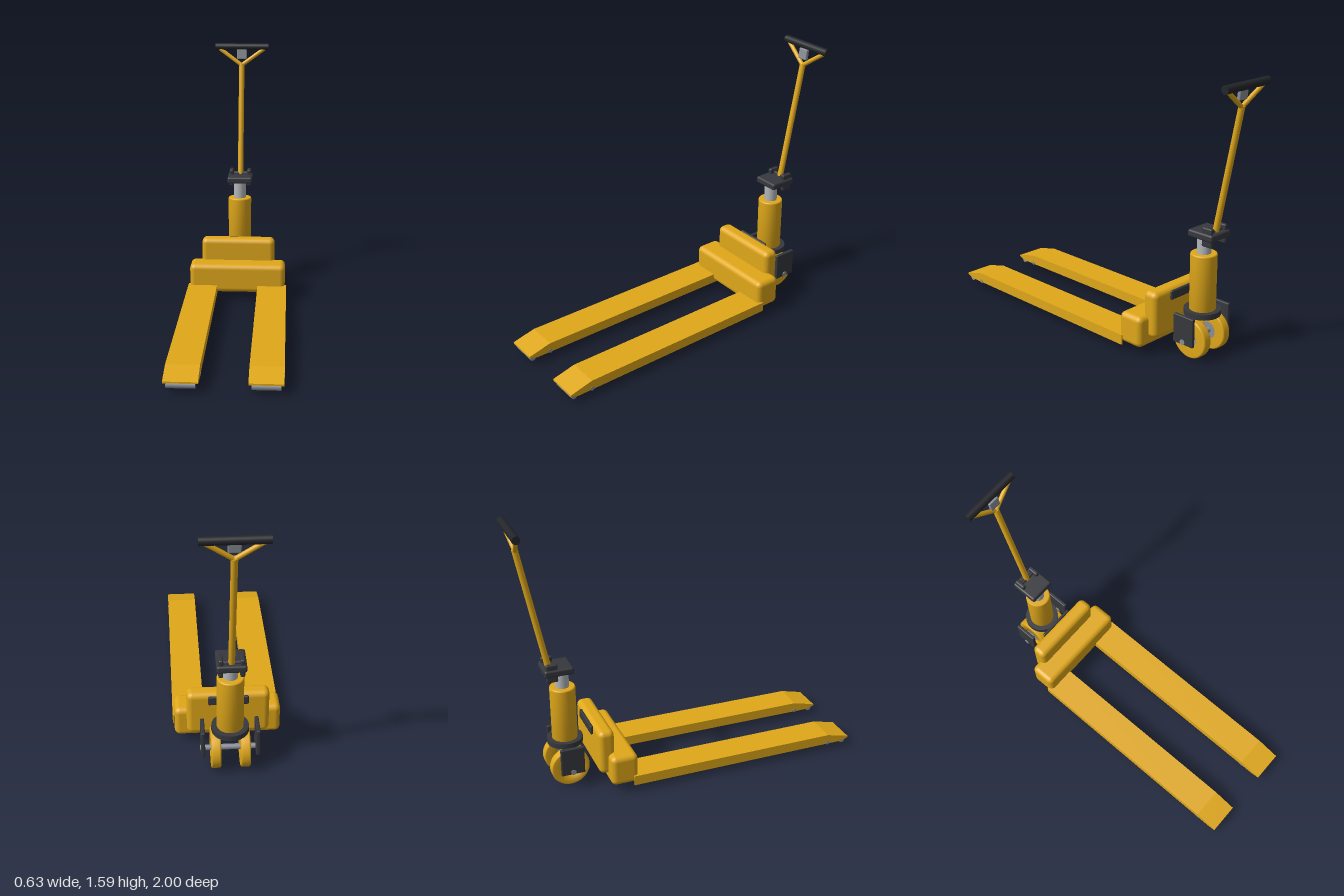
import * as THREE from 'three';
import { RoundedBoxGeometry } from 'three/addons/geometries/RoundedBoxGeometry.js';

const paint = (color, side = THREE.FrontSide) => new THREE.MeshStandardMaterial({ color, side });
const yellow = paint(0xe0a81a);
const sheet = paint(0xe0a81a, THREE.DoubleSide);
const dark = paint(0x36383d);
const black = paint(0x232529);
const steel = paint(0xb4b6ba);
const hubGrey = paint(0x8a8f96);

export function createModel() {
  const model = new THREE.Group();
  model.name = 'palletTruck';

  const add = (name, geometry, material, x = 0, y = 0, z = 0) => {
    const mesh = new THREE.Mesh(geometry, material);
    mesh.name = name;
    mesh.position.set(x, y, z);
    model.add(mesh);
    return mesh;
  };
  const block = (name, mat, w, h, d, r, x, y, z) =>
    add(name, new RoundedBoxGeometry(w, h, d, 4, r), mat, x, y, z);

  // Straight round bar between two points
  const bar = (name, mat, a, b, r) => {
    const p = new THREE.Vector3(...a), q = new THREE.Vector3(...b);
    const mesh = add(name, new THREE.CylinderGeometry(r, r, p.distanceTo(q), 24), mat);
    mesh.position.copy(p).lerp(q, 0.5);
    mesh.quaternion.setFromUnitVectors(new THREE.Vector3(0, 1, 0), q.sub(p).normalize());
    return mesh;
  };

  // Ring lying along x, with rounded outer rims and an open bore
  const wheel = (name, mat, outer, bore, width, x, y, z) => {
    const h = width / 2, c = Math.min(0.012, h / 3);
    const pts = [[bore, -h], [outer - c, -h], [outer - c * 0.3, -h + c * 0.3], [outer, -h + c],
      [outer, h - c], [outer - c * 0.3, h - c * 0.3], [outer - c, h], [bore, h], [bore, -h]];
    const geo = new THREE.LatheGeometry(pts.map(p => new THREE.Vector2(...p)), 48);
    geo.rotateZ(Math.PI / 2);
    return add(name, geo, mat, x, y, z);
  };

  // Extrude a (z, y) outline across x, centred on its width
  const sideExtrude = (points, width) => {
    const shape = new THREE.Shape(points.map(p => new THREE.Vector2(...p)));
    const geo = new THREE.ExtrudeGeometry(shape, { depth: width, bevelEnabled: false });
    return geo.translate(0, 0, -width / 2).rotateY(-Math.PI / 2);
  };

  // Forks: open-bottomed channels with a sloping toe
  const topSkin = [[-0.41, 0.1], [-0.41, 0.09], [0.855, 0.09], [0.985, 0.05], [1, 0.055], [1, 0.065], [0.86, 0.1]];
  const sideWall = [[-0.41, 0.1], [-0.41, 0.04], [0.95, 0.04], [1, 0.055], [1, 0.065], [0.86, 0.1]];
  for (const [label, s] of [['left', 1], ['right', -1]]) {
    const x = s * 0.222;
    add(label + 'ForkTop', sideExtrude(topSkin, 0.185), sheet, x);
    for (const e of [-1, 1]) add(label + 'ForkWall', sideExtrude(sideWall, 0.008), sheet, x + e * 0.0885);

    // Load roller and entry roller under the toe
    wheel(label + 'LoadRoller', yellow, 0.043, 0.012, 0.08, x, 0.046, 0.86);
    bar(label + 'LoadRollerAxle', hubGrey, [x - 0.094, 0.046, 0.86], [x + 0.094, 0.046, 0.86], 0.012);
    bar(label + 'EntryRoller', hubGrey, [x - 0.077, 0.036, 0.97], [x + 0.077, 0.036, 0.97], 0.019);

    // Steering wheel, hub and outer bracket
    wheel(label + 'SteerWheel', yellow, 0.115, 0.05, 0.055, s * 0.082, 0.116, -0.73);
    bar(label + 'SteerHub', hubGrey, [s * 0.06, 0.116, -0.73], [s * 0.104, 0.116, -0.73], 0.051);
    block(label + 'WheelBracket', dark, 0.022, 0.17, 0.14, 0.006, s * 0.153, 0.185, -0.73);

    // Handle pivot ear and upper fork of the handle
    block(label + 'PivotEar', dark, 0.026, 0.11, 0.068, 0.009, s * 0.058, 0.72, -0.8);
    bar(label + 'HandleBranch', yellow, [0, 1.447, -0.946], [s * 0.15, 1.555, -0.97], 0.013);
  }
  bar('steerAxle', hubGrey, [-0.168, 0.116, -0.73], [0.168, 0.116, -0.73], 0.016);

  // Stepped body behind the forks
  block('lowerBody', yellow, 0.61, 0.185, 0.162, 0.032, 0, 0.143, -0.46);
  block('upperBody', yellow, 0.47, 0.275, 0.095, 0.032, 0, 0.238, -0.543);
  block('rearPad', dark, 0.23, 0.055, 0.018, 0.008, 0, 0.338, -0.597);

  // Hydraulic pump column
  const column = [[0, 0.24], [0.075, 0.24], [0.075, 0.592], [0.073, 0.598], [0.067, 0.6], [0, 0.6]];
  add('pumpColumn', new THREE.LatheGeometry(column.map(p => new THREE.Vector2(...p)), 48), yellow, 0, 0, -0.73);
  bar('turntable', dark, [0, 0.24, -0.73], [0, 0.272, -0.73], 0.105);
  bar('pistonRod', steel, [0, 0.59, -0.73], [0, 0.72, -0.73], 0.04);
  block('pivotBlock', dark, 0.162, 0.042, 0.17, 0.012, 0, 0.722, -0.76);

  // Tiller handle
  bar('pivotPin', dark, [-0.06, 0.745, -0.805], [0.06, 0.745, -0.805], 0.012);
  bar('handleShaft', yellow, [0, 0.72, -0.802], [0, 1.455, -0.948], 0.018);
  bar('grip', black, [-0.175, 1.565, -0.973], [0.175, 1.565, -0.973], 0.023);
  const lever = block('releaseLever', hubGrey, 0.066, 0.065, 0.022, 0.006, 0, 1.518, -0.95);
  lever.rotation.x = -0.12;

  return model;
}
